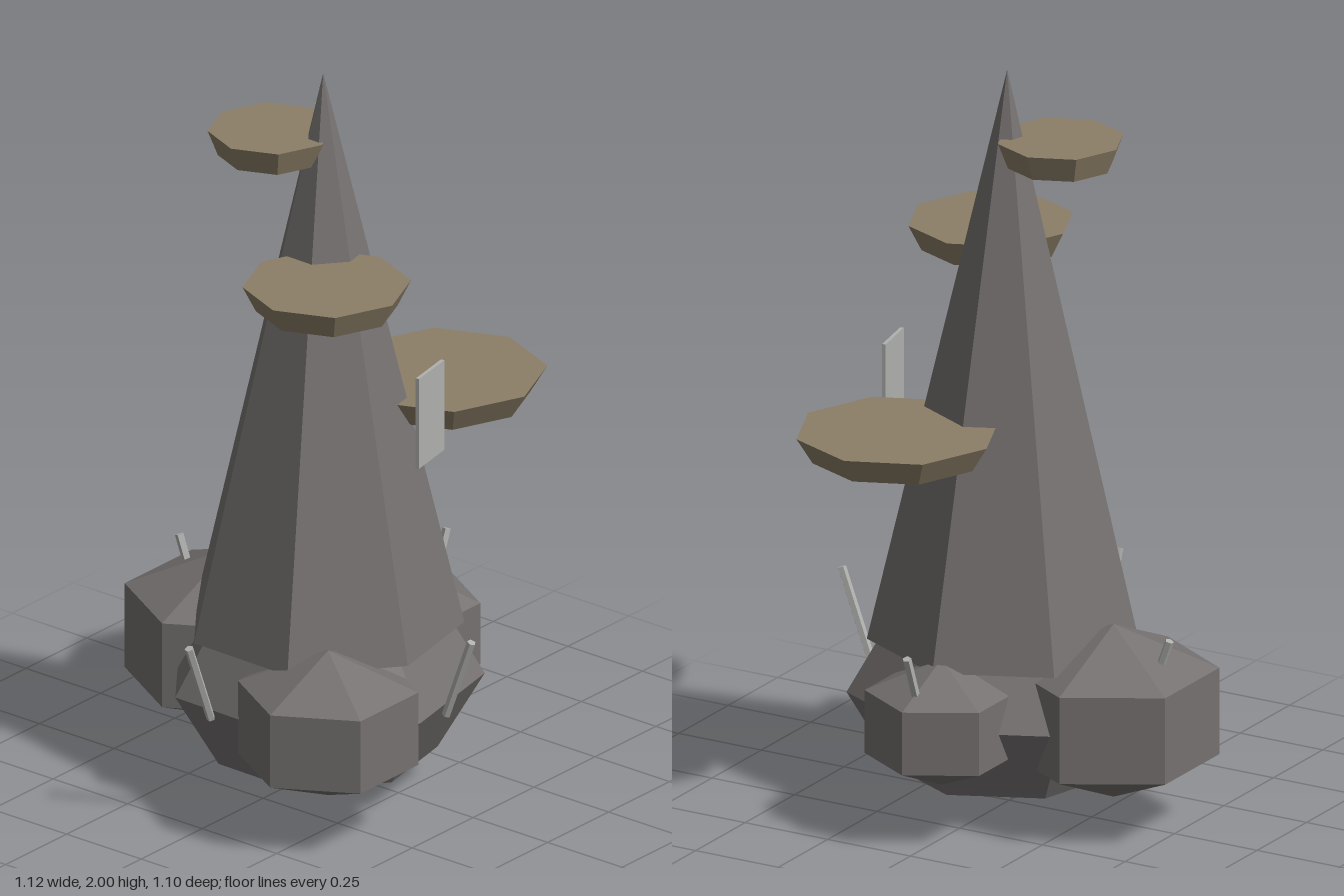
import * as THREE from 'three';

export function createModel() {
  const model = new THREE.Group();
  model.name = 'tower';
  const flat = (color, name) => {
    const m = new THREE.MeshStandardMaterial({ color, flatShading: true });
    m.name = name;
    return m;
  };
  const stone = flat(0x757170, 'stone grey');
  const brown = flat(0x8c7f67, 'platform brown');
  const pale = flat(0xb0b0ae, 'pale grey');

  const add = (name, geometry, material, x, y, z) => {
    const mesh = new THREE.Mesh(geometry, material);
    mesh.name = name;
    mesh.position.set(x, y, z);
    model.add(mesh);
    return mesh;
  };

  // Thin straight bar between two points
  const bar = (name, a, b, radius, material) => {
    const from = new THREE.Vector3(...a), to = new THREE.Vector3(...b);
    const dir = to.clone().sub(from);
    const mid = from.clone().add(to).multiplyScalar(0.5);
    const mesh = add(name, new THREE.CylinderGeometry(radius, radius, dir.length(), 5), material, mid.x, mid.y, mid.z);
    mesh.quaternion.setFromUnitVectors(new THREE.Vector3(0, 1, 0), dir.normalize());
  };

  // Tower axis
  const ax = -0.04, az = 0.03;

  // Seven-sided squashed base and tall spire
  add('base', new THREE.SphereGeometry(0.42, 7, 4, 0.429).scale(1, 0.71, 1), stone, ax, 0.3, az);
  add('spire', new THREE.ConeGeometry(0.367, 1.555, 7, 1, false, -0.244), stone, ax, 1.2225, az);

  // Side lobes: x, z, radius
  [
    [-0.295, 0.255, 0.274],
    [0.295, 0.028, 0.231],
    [-0.01, -0.31, 0.3175],
  ].forEach(([x, z, r], i) => {
    add('lobe' + (i + 1), new THREE.SphereGeometry(r, 6, 3).scale(1, 0.75, 1), stone, x, 0.304, z);
  });

  // Tapered eight-sided platforms with a strut beneath: x, y, z, radius
  [
    [0.29, 1.045, 0.165, 0.27],
    [-0.215, 1.47, 0.185, 0.22],
    [-0.085, 1.785, -0.105, 0.168],
  ].forEach(([x, y, z, r], i) => {
    add('platform' + (i + 1), new THREE.CylinderGeometry(r, r * 0.84, 0.07, 8), brown, x, y, z);
    bar('strut' + (i + 1), [ax, y - 0.053, az], [x, y - 0.036, z], 0.016, brown);
  });

  // Window panel standing off the spire
  add('window', new THREE.BoxGeometry(0.138, 0.255, 0.01), pale, 0.018, 1.098, 0.341).rotation.y = 0.19;

  // Outward leaning antennas
  [
    [[-0.055, 0.3, 0.455], [-0.055, 0.53, 0.54]],
    [[-0.46, 0.3, -0.003], [-0.55, 0.53, -0.003]],
    [[0, 0.3, -0.4], [0, 0.53, -0.485]],
    [[0.38, 0.3, 0.03], [0.468, 0.53, 0.03]],
  ].forEach(([a, b], i) => bar('antenna' + (i + 1), a, b, 0.012, pale));

  return model;
}
